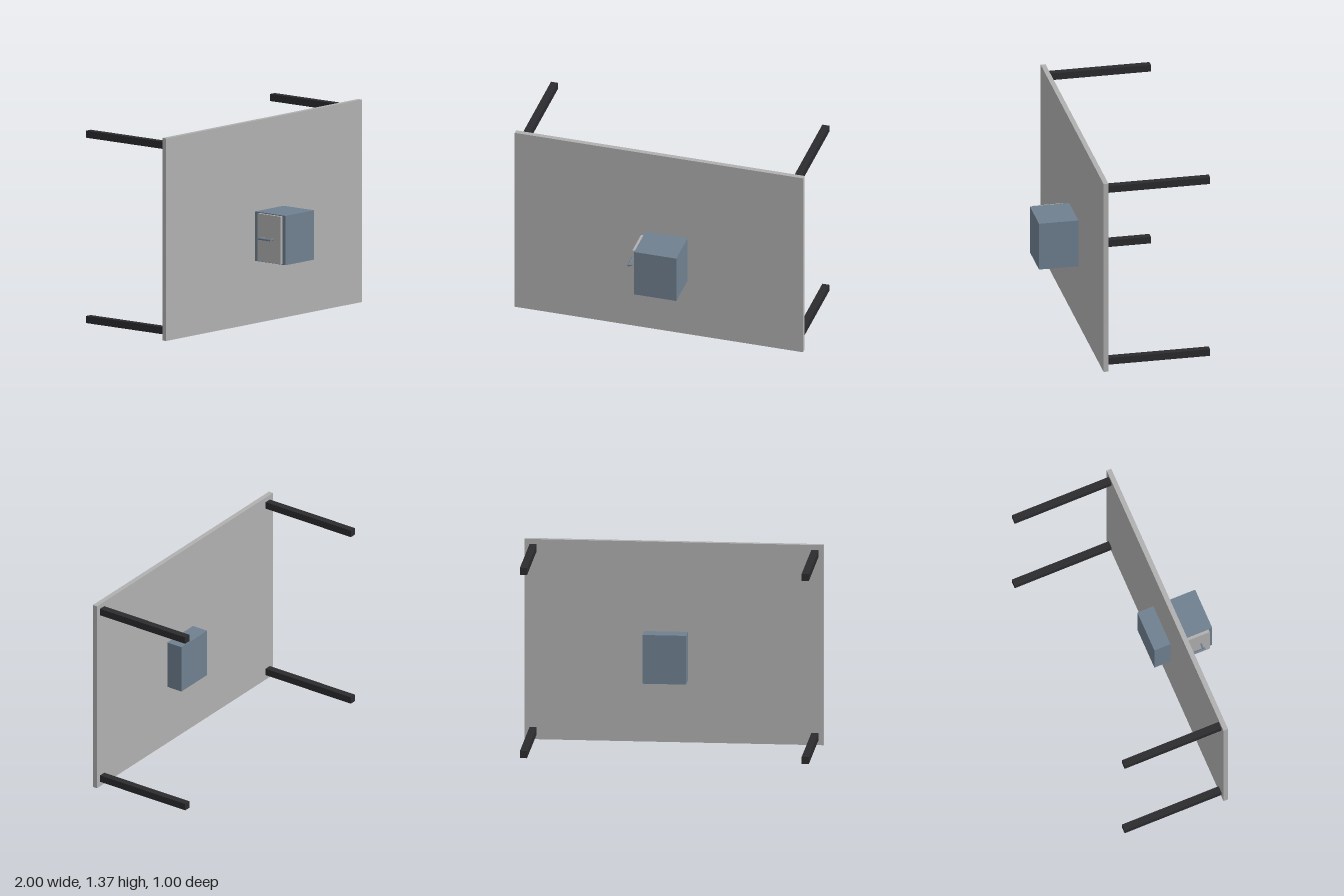
import * as THREE from 'three';

const flat = (name, color) => {
  const m = new THREE.MeshStandardMaterial({ color });
  m.name = name;
  return m;
};

export function createModel() {
  const model = new THREE.Group();
  model.name = 'deskOnItsSide';
  const panelGrey = flat('panelGrey', 0xb0b0b0);
  const slateBlue = flat('slateBlue', 0x708090);
  const legBlack = flat('legBlack', 0x2b2b2f);

  // Box given by its lowest and highest corners
  const box = (name, material, min, max) => {
    const size = max.map((v, i) => v - min[i]);
    const mesh = new THREE.Mesh(new THREE.BoxGeometry(...size), material);
    mesh.position.set(...max.map((v, i) => (v + min[i]) / 2));
    mesh.name = name;
    model.add(mesh);
  };

  // Upright top board
  const height = 1.367;
  box('tabletop', panelGrey, [-1, 0, 0.199], [1, height, 0.232]);

  // Four square legs reaching backwards from the corners
  for (const x of [-0.941, 0.941]) {
    for (const y of [0.058, height - 0.058]) {
      box('leg', legBlack, [x - 0.024, y - 0.024, -0.5], [x + 0.024, y + 0.024, 0.199]);
    }
  }

  // Cabinet passing through the board, with its drawer front on the right
  box('cabinet', slateBlue, [-0.092, 0.422, 0.083], [0.2, 0.755, 0.5]);
  box('drawerFront', panelGrey, [-0.112, 0.428, 0.272], [-0.092, 0.749, 0.474]);

  // Round pull handle: a bar on two posts
  const handle = new THREE.Group();
  handle.name = 'handle';
  handle.position.set(-0.112, 0.59, 0.371);
  const rod = (name, radius, length) => {
    const mesh = new THREE.Mesh(new THREE.CylinderGeometry(radius, radius, length, 20), slateBlue);
    mesh.name = name;
    handle.add(mesh);
    return mesh;
  };
  const bar = rod('handleBar', 0.008, 0.105);
  bar.rotation.x = Math.PI / 2;
  bar.position.x = -0.043;
  for (const z of [-0.04, 0.04]) {
    const post = rod('handlePost', 0.006, 0.043);
    post.rotation.z = Math.PI / 2;
    post.position.set(-0.0215, 0, z);
  }
  model.add(handle);

  return model;
}
